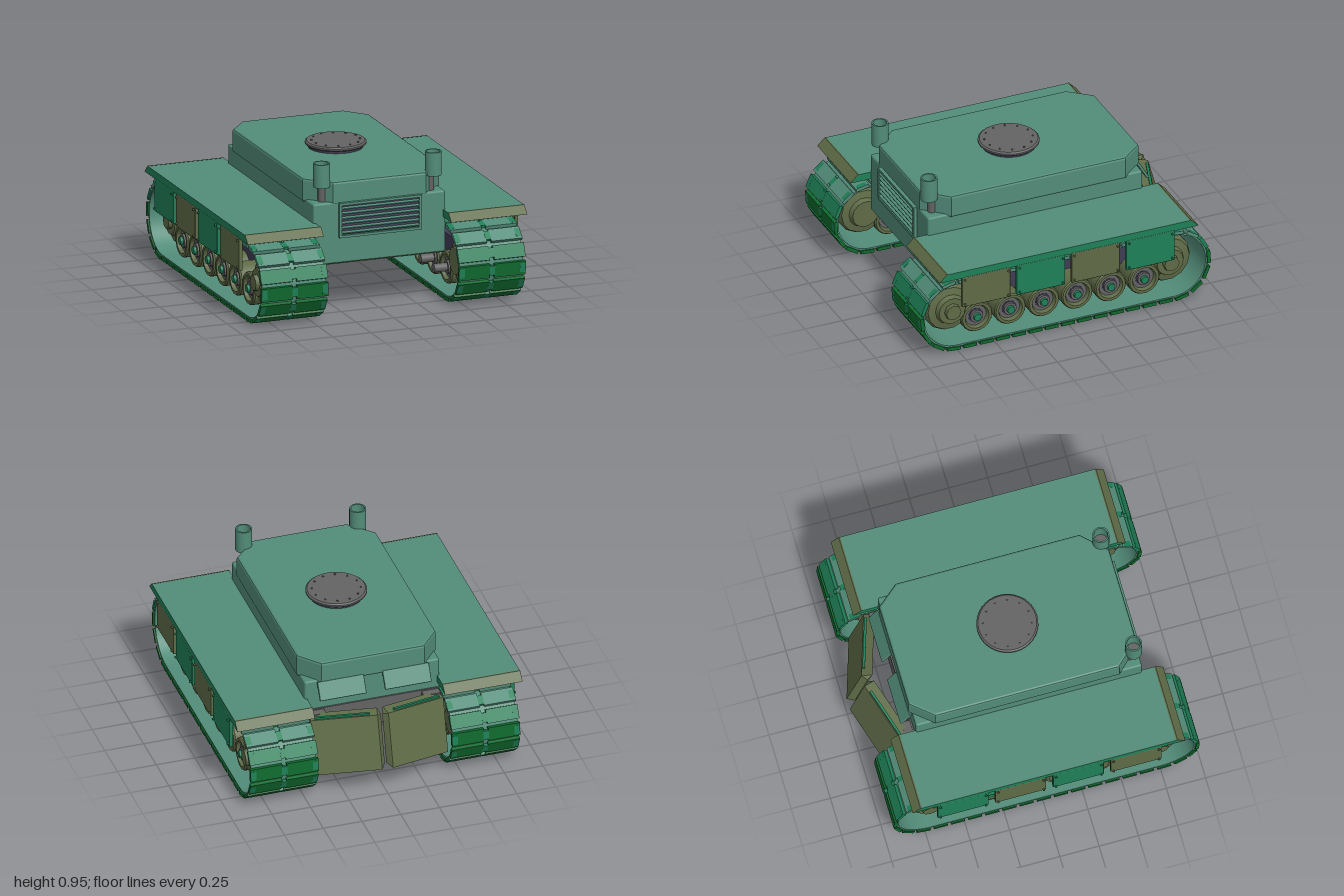
import * as THREE from 'three';
import { mergeGeometries, toCreasedNormals } from 'three/addons/utils/BufferGeometryUtils.js';
import { RoundedBoxGeometry } from 'three/addons/geometries/RoundedBoxGeometry.js';
import { ConvexGeometry } from 'three/addons/geometries/ConvexGeometry.js';

const mat = (name, color) => {
  const m = new THREE.MeshStandardMaterial({ color });
  m.name = name;
  return m;
};
const teal = mat('teal paint', 0x528c79);
const olive = mat('olive paint', 0x5f6b47);
const green = mat('green paint', 0x1f8058);
const darkGreen = mat('track green', 0x0f6a2e);
const gray = mat('gray metal', 0x636363);
const purple = mat('dark shadow metal', 0x403c55);

const V = (x, y, z) => new THREE.Vector3(x, y, z);

function add(parent, name, geo, material, x = 0, y = 0, z = 0) {
  const m = new THREE.Mesh(geo, material);
  m.name = name;
  m.position.set(x, y, z);
  parent.add(m);
  return m;
}

// Box from its min and max on each axis
function block(parent, name, material, x0, x1, y0, y1, z0, z1) {
  return add(parent, name, new THREE.BoxGeometry(x1 - x0, y1 - y0, z1 - z0), material,
    (x0 + x1) / 2, (y0 + y1) / 2, (z0 + z1) / 2);
}

// Extrude a (z, y) outline across x, centred on x = 0
function sideExtrude(shape, width) {
  const g = new THREE.ExtrudeGeometry(shape, { depth: width, bevelEnabled: false, curveSegments: 20 });
  return g.rotateY(Math.PI / 2).translate(-width / 2, 0, 0);
}
const outline = pts => new THREE.Shape(pts.map(([z, y]) => new THREE.Vector2(-z, y)));

const lathe = (pts, seg) => toCreasedNormals(
  new THREE.LatheGeometry(pts.map(p => new THREE.Vector2(...p)), seg), 0.6);

// Track loop: two arcs joined by straight runs
const ZF = 0.753, ZR = -0.705, YC = 0.245;
function loop(r, Kind) {
  const p = new Kind();
  p.absarc(-ZR, YC, r, -Math.PI / 2, Math.PI / 2, false);
  p.absarc(-ZF, YC, r, Math.PI / 2, Math.PI * 1.5, false);
  p.closePath();
  return p;
}

// Position and pitch of a link at distance d round the loop
function loopPoint(d, r) {
  const L = ZF - ZR, A = Math.PI * r;
  if (d < L) return [ZR + d, YC - r, Math.PI];
  d -= L;
  if (d < A) return [ZF + Math.sin(d / r) * r, YC - Math.cos(d / r) * r, Math.PI - d / r];
  d -= A;
  if (d < L) return [ZF - d, YC + r, 0];
  d -= L;
  return [ZR - Math.sin(d / r) * r, YC + Math.cos(d / r) * r, -d / r];
}

// Boxes round the loop whose centres lie between two heights
function pads(width, length, height, xs, r, yMin, yMax) {
  const total = 2 * (ZF - ZR) + 2 * Math.PI * r, n = 40, list = [];
  for (let i = 0; i < n; i++) {
    const [z, y, a] = loopPoint((i + 0.5) * total / n, r);
    if (y < yMin || y >= yMax) continue;
    for (const x of xs) {
      list.push(new THREE.BoxGeometry(width, height, length).rotateX(a).translate(x, y, z));
    }
  }
  return mergeGeometries(list);
}

function addWheel(parent, name, s, z, y, profile, seg) {
  const w = new THREE.Group();
  w.name = name;
  w.position.set(s * 0.65, y, z);
  w.rotation.z = -s * Math.PI / 2;
  add(w, 'rim', lathe(profile, seg), olive);
  parent.add(w);
  return w;
}

function addRunningGear(root, s) {
  const g = new THREE.Group();
  g.name = s > 0 ? 'leftRunningGear' : 'rightRunningGear';
  root.add(g);

  // Track band with pads shading from teal on top to dark green below
  const band = loop(0.226, THREE.Shape);
  band.holes.push(loop(0.214, THREE.Path));
  add(g, 'trackBand', toCreasedNormals(sideExtrude(band, 0.42), 0.5), teal, s * 0.65);
  for (const [material, lo, hi] of [[teal, 0.4, 1], [green, 0.29, 0.4], [darkGreen, -1, 0.29]]) {
    add(g, 'trackPads', pads(0.205, 0.088, 0.022, [-0.117, 0.117], 0.233, lo, hi), material, s * 0.65);
  }
  add(g, 'trackConnectors', pads(0.035, 0.06, 0.018, [-0.2, 0, 0.2], 0.2355, -1, 1), green, s * 0.65);

  // Road wheels, dished on both faces
  for (let i = 0; i < 6; i++) {
    const z = 0.588 - i * 0.2245;
    const w = addWheel(g, 'roadWheel', s, z, 0.16, [[0, -0.12], [0.07, -0.12], [0.08, -0.15], [0.098, -0.15],
      [0.105, -0.14], [0.105, 0.14], [0.098, 0.15], [0.08, 0.15], [0.07, 0.12], [0, 0.12]], 18);
    for (const f of [1, -1]) {
      add(w, 'wheelDish', new THREE.CylinderGeometry(0.07, 0.07, 0.008, 18), gray, 0, f * 0.123);
      add(w, 'hubRecess', new THREE.CylinderGeometry(0.05, 0.05, 0.01, 16), purple, 0, f * 0.124);
      add(w, 'hubFlange', new THREE.CylinderGeometry(0.042, 0.042, 0.03, 14), gray, 0, f * 0.13);
    }
    add(w, 'hubCap', new THREE.CylinderGeometry(0.024, 0.026, 0.02, 10), green, 0, 0.152);
    add(g, 'axle', new THREE.CylinderGeometry(0.028, 0.028, 0.12, 12).rotateZ(Math.PI / 2), gray, s * 0.48, 0.16, z);
  }
  // End wheels
  for (const z of [0.76, -0.705]) {
    const w = addWheel(g, z > 0 ? 'frontEndWheel' : 'rearEndWheel', s, z, YC,
      [[0, -0.16], [0.088, -0.16], [0.1, -0.13], [0.145, -0.12], [0.16, -0.09], [0.16, 0.09],
        [0.145, 0.12], [0.1, 0.13], [0.088, 0.16], [0, 0.16]], 14);
    add(w, 'endHub', new THREE.CylinderGeometry(0.05, 0.055, 0.03, 8), olive, 0, 0.17);
  }
  // Frame between the wheel faces, carrying the axles
  block(g, 'trackFrame', purple, s * 0.6 - 0.05, s * 0.6 + 0.05, 0.21, 0.34, -0.62, 0.66);
  block(g, 'hullSidePlate', gray, s * 0.437 - 0.004, s * 0.437 + 0.004, 0.34, 0.535, -0.67, 0.7);

  // Fender with sloped ends
  const side = outline([[0.89, 0.535], [0.84, 0.58], [-0.79, 0.58], [-0.84, 0.535]].reverse());
  add(g, 'fender', sideExtrude(side, 0.5), [green, teal], s * 0.67);
  block(g, 'fenderUnderside', olive, s * 0.67 - 0.248, s * 0.67 + 0.248, 0.53, 0.536, -0.835, 0.885);
  for (const [z0, z1] of [[0.89, 0.84], [-0.84, -0.79]]) {
    const d = Math.sign(z0) * 0.004;
    add(g, 'fenderEnd', new ConvexGeometry([-0.25, 0.25].flatMap(x => [
      V(x, 0.533, z0 - d), V(x, 0.533, z0 + d), V(x, 0.582, z1 - d), V(x, 0.582, z1 + d)])), olive, s * 0.67);
  }

  // Skirt panels with corner bolts in matching paint
  for (let i = 0; i < 4; i++) {
    const z = 0.58 - i * 0.3675, paint = i % 2 ? green : olive;
    add(g, 'skirtPanel', new RoundedBoxGeometry(0.025, 0.21, 0.325, 1, 0.005), paint, s * 0.908, 0.43, z);
    for (const dy of [-0.085, 0.085]) for (const dz of [-0.145, 0.145]) {
      add(g, 'skirtBolt', new THREE.CylinderGeometry(0.007, 0.007, 0.014, 6).rotateZ(Math.PI / 2), paint,
        s * 0.925, 0.43 + dy, z + dz);
    }
  }
}

function addRearBlade(root, s) {
  // Leaning swept blade half with a thick slab section
  const face = [[0.035, 0.515, -0.9], [0.43, 0.475, -0.775], [0.43, 0.135, -0.87], [0.035, 0.175, -0.995]];
  const pts = face.flatMap(([x, y, z]) => [V(s * x, y, z), V(s * (x - 0.015), y + 0.012, z + 0.065)]);
  pts.push(V(s * 0.005, 0.5, -0.87), V(s * 0.005, 0.19, -0.95));
  add(root, 'rearBlade', new ConvexGeometry(pts), olive);
  // Green strip along the top edge
  const rib = add(root, 'bladeRib', new THREE.BoxGeometry(0.34, 0.012, 0.016), green, s * 0.24, 0.503, -0.822);
  rib.rotation.set(0, s * -0.31, s * -0.1);
  // Gray hinge arm at the outer end
  block(root, 'bladeArm', gray, s * 0.37 - 0.055, s * 0.37 + 0.055, 0.33, 0.492, -0.745, -0.66);
}

export function createModel() {
  const root = new THREE.Group();
  root.name = 'trackedVehicle';

  // Hull
  add(root, 'hull', new RoundedBoxGeometry(0.87, 0.39, 1.44, 2, 0.012), teal, 0, 0.505, 0.035);
  block(root, 'bellyPlate', olive, -0.43, 0.43, 0.304, 0.312, -0.68, 0.74);
  block(root, 'rearLowerPlate', gray, -0.42, 0.42, 0.32, 0.5, -0.694, -0.682);

  // Upper deck with clipped corners
  const deck = new THREE.Shape([[-0.435, 0.56], [-0.325, 0.69], [0.325, 0.69], [0.435, 0.56],
    [0.435, -0.6], [0.3, -0.74], [-0.3, -0.74], [-0.435, -0.6]].reverse().map(p => new THREE.Vector2(...p)));
  add(root, 'upperDeck', new THREE.ExtrudeGeometry(deck, {
    depth: 0.12, bevelThickness: 0.015, bevelSize: 0.015, bevelSegments: 2,
  }).rotateX(-Math.PI / 2), teal, 0, 0.695, 0);

  // Round hatch with a ring of bolts
  add(root, 'hatchCollar', new THREE.CylinderGeometry(0.17, 0.17, 0.03, 36), purple, 0, 0.84, 0.02);
  add(root, 'hatchLid', lathe([[0, 0], [0.18, 0], [0.19, 0.008], [0.19, 0.018], [0.18, 0.026], [0, 0.026]], 36),
    gray, 0, 0.846, 0.02);
  for (let i = 0; i < 12; i++) {
    const a = i * Math.PI / 6 + 0.26;
    add(root, 'hatchBolt', new THREE.CylinderGeometry(0.005, 0.006, 0.01, 6), gray,
      Math.sin(a) * 0.15, 0.874, 0.02 + Math.cos(a) * 0.15);
  }

  // Front grille
  block(root, 'grilleBack', purple, -0.26, 0.26, 0.485, 0.685, 0.75, 0.76);
  for (const y of [0.482, 0.688]) block(root, 'grilleFrame', teal, -0.27, 0.27, y - 0.008, y + 0.008, 0.75, 0.778);
  for (const x of [-0.263, 0.263]) block(root, 'grilleFrame', teal, x - 0.008, x + 0.008, 0.48, 0.69, 0.75, 0.778);
  for (let i = 0; i < 6; i++) {
    const slat = block(root, 'grilleSlat', teal, -0.256, 0.256, 0.502 + i * 0.031, 0.51 + i * 0.031, 0.755, 0.778);
    slat.rotation.x = 0.35;
  }

  for (const s of [1, -1]) {
    addRunningGear(root, s);
    addRearBlade(root, s);

    // Hollow exhaust stack on a slim pipe against the deck corner
    add(root, 'exhaustPipe', new THREE.CylinderGeometry(0.026, 0.026, 0.14, 16), gray, s * 0.355, 0.745, 0.695);
    add(root, 'exhaustStack', lathe([[0, 0], [0.052, 0], [0.052, 0.15], [0.042, 0.15], [0.042, 0.04], [0, 0.04]], 24),
      teal, s * 0.368, 0.8, 0.72);
    add(root, 'exhaustFloor', new THREE.CylinderGeometry(0.041, 0.041, 0.008, 24), gray, s * 0.368, 0.842, 0.72);

    // Sloped rear vision flap on a gray bracket
    const flap = add(root, 'rearFlap', new RoundedBoxGeometry(0.3, 0.12, 0.018, 1, 0.005), teal, s * 0.21, 0.645, -0.728);
    flap.rotation.x = 0.53;
    block(root, 'flapBracket', gray, s * 0.21 - 0.08, s * 0.21 + 0.08, 0.61, 0.68, -0.715, -0.68);
  }
  return root;
}
